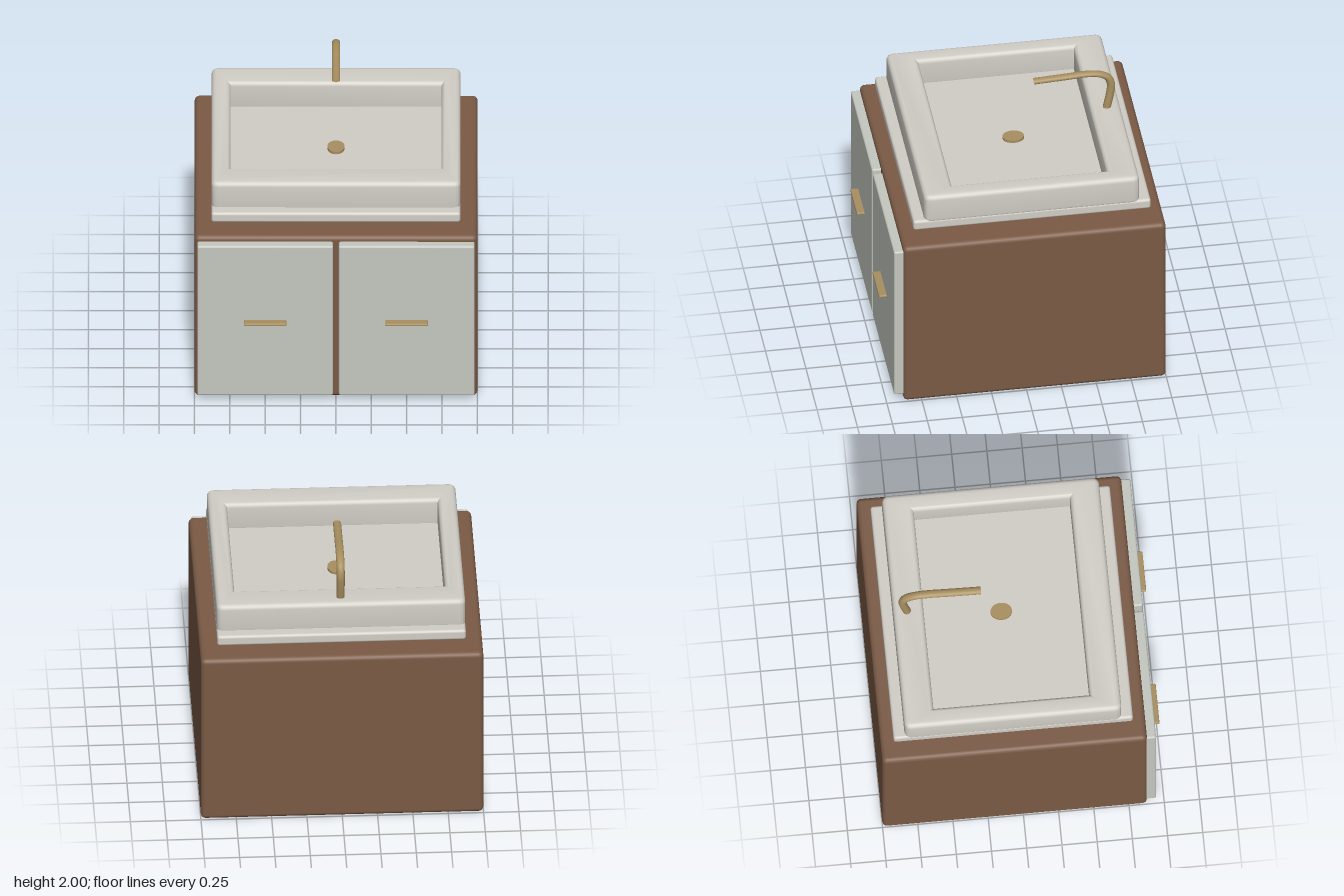
import * as THREE from 'three';
import { RoundedBoxGeometry } from 'three/addons/geometries/RoundedBoxGeometry.js';
import { toCreasedNormals } from 'three/addons/utils/BufferGeometryUtils.js';

const material = (color, side = THREE.FrontSide) => new THREE.MeshStandardMaterial({ color, side });

export function createModel() {
  const model = new THREE.Group();
  model.name = 'vanity';
  const wood = material(0x7a5a45);
  const paint = material(0xc5c8c0);
  const ceramic = material(0xd1cec6);
  const brass = material(0xa88f60, THREE.DoubleSide);

  const add = (name, geometry, mat) => {
    const mesh = new THREE.Mesh(geometry, mat);
    mesh.name = name;
    model.add(mesh);
    return mesh;
  };

  // Rounded box given by its lower and upper limits
  const box = (name, min, max, radius, mat) => {
    const size = max.map((v, i) => v - min[i]);
    const mesh = add(name, new RoundedBoxGeometry(...size, 4, radius), mat);
    mesh.position.set(...max.map((v, i) => (v + min[i]) / 2));
    return mesh;
  };

  box('cabinet', [-1, 0, -1], [1, 1.34, 0.88], 0.035, wood);

  // Pair of doors with bar handles
  for (const [side, s] of [['left', 1], ['right', -1]]) {
    const span = (a, b) => (s > 0 ? [a, b] : [-b, -a]);
    const [d0, d1] = span(0.02, 0.98);
    box(side + 'Door', [d0, 0.05, 0.86], [d1, 1.3, 0.945], 0.014, paint);
    const [h0, h1] = span(0.35, 0.65);
    box(side + 'Handle', [h0, 0.665, 0.93], [h1, 0.686, 1], 0.008, brass);
  }

  // Plinth under the basin; its top is also the basin floor
  box('basinBase', [-0.88, 1.4, -0.91], [0.88, 1.48, 0.79], 0.02, ceramic);

  // Basin walls: rounded rectangle with a rectangular opening, bevelled all round
  const bevel = 0.035, r = 0.015;
  const x = 0.88 - bevel, back = 0.83 - bevel, front = -0.71 + bevel;
  const outline = new THREE.Shape();
  outline.moveTo(-x + r, front).lineTo(x - r, front).quadraticCurveTo(x, front, x, front + r)
    .lineTo(x, back - r).quadraticCurveTo(x, back, x - r, back)
    .lineTo(-x + r, back).quadraticCurveTo(-x, back, -x, back - r)
    .lineTo(-x, front + r).quadraticCurveTo(-x, front, -x + r, front);
  const ix = 0.745 + bevel, iBack = 0.615 + bevel, iFront = -0.495 - bevel;
  const opening = new THREE.Path();
  opening.moveTo(-ix, iFront).lineTo(-ix, iBack).lineTo(ix, iBack).lineTo(ix, iFront).closePath();
  outline.holes.push(opening);
  const walls = new THREE.ExtrudeGeometry(outline, {
    depth: 0.23 - 2 * bevel, bevelSize: bevel, bevelThickness: bevel, bevelSegments: 6, curveSegments: 4,
  });
  walls.rotateX(-Math.PI / 2).translate(0, 1.45 + bevel, 0);
  add('basinWalls', toCreasedNormals(walls, 0.4), ceramic);

  // Oval drain cover
  const drain = add('drain', new THREE.CylinderGeometry(1, 1, 0.04, 40), brass);
  drain.scale.set(0.061, 1, 0.076);
  drain.position.set(0, 1.48, -0.063);

  // Curved spout, slightly flattened in height
  const squash = 0.7;
  const path = new THREE.CatmullRomCurve3([
    [1.64, -0.725], [1.72, -0.742], [1.8, -0.757], [1.88, -0.762], [1.94, -0.735],
    [1.972, -0.67], [1.98, -0.58], [1.972, -0.44], [1.96, -0.21],
  ].map(([y, z]) => new THREE.Vector3(0, y / squash, z)));
  const spout = new THREE.TubeGeometry(path, 64, 0.029, 20);
  add('faucet', spout.scale(1, squash, 1), brass);

  return model;
}
